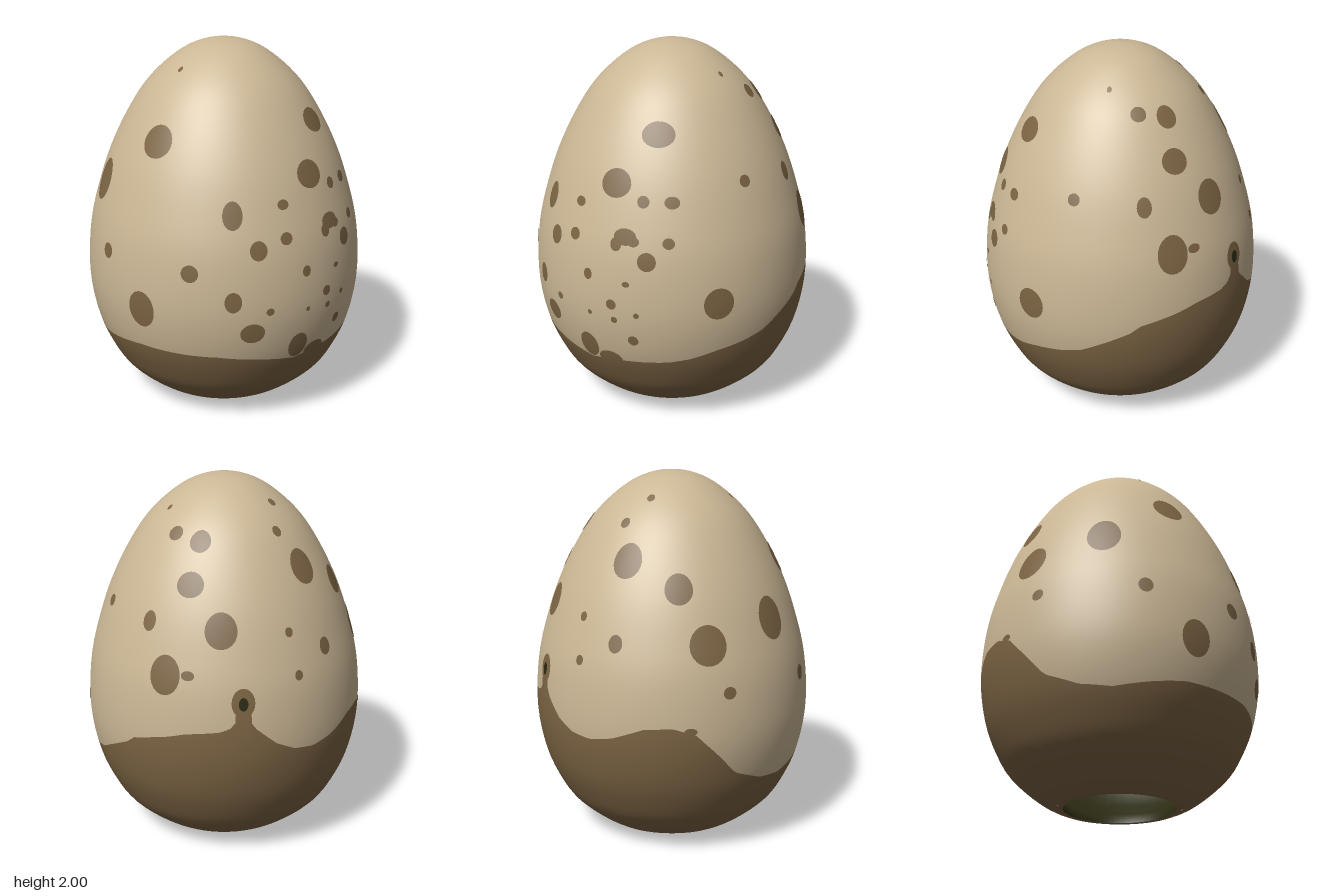
import * as THREE from 'three';

const cream = new THREE.MeshStandardMaterial({ color: 0xcbb795 });
cream.name = 'cream shell';
const brown = new THREE.MeshStandardMaterial({ color: 0x7c6443 });
brown.name = 'brown stain';
const dark = new THREE.MeshStandardMaterial({ color: 0x2a2a12, side: THREE.DoubleSide });
dark.name = 'dark inside';

// Egg profile as [radius, height], smoothed into a dense table
const PROFILE = [
  [0.33, 0], [0.4, 0.03], [0.5, 0.1], [0.605, 0.2], [0.67, 0.31], [0.72, 0.43], [0.758, 0.6],
  [0.768, 0.76], [0.747, 1], [0.697, 1.2], [0.628, 1.4], [0.53, 1.6], [0.425, 1.76],
  [0.315, 1.87], [0.2, 1.95], [0.09, 1.99], [0, 2],
];
const table = new THREE.CatmullRomCurve3(PROFILE.map(([r, y]) => new THREE.Vector3(r, y, 0)))
  .getPoints(600);

function radiusAt(y) {
  if (y >= 2) return 0;
  if (y <= 0) return PROFILE[0][0];
  const k = Math.max(1, table.findIndex((p) => p.y >= y));
  const a = table[k - 1], b = table[k];
  return a.x + (b.x - a.x) * (y - a.y) / Math.max(1e-6, b.y - a.y);
}

// Outward normal and position on the egg; angle 0 is the front, growing towards +x
function normalAt(angle, y) {
  if (y > 1.9995) return new THREE.Vector3(0, 1, 0);
  const lo = Math.max(0, y - 0.01), hi = Math.min(2, y + 0.01);
  const slope = (radiusAt(hi) - radiusAt(lo)) / (hi - lo);
  return new THREE.Vector3(Math.sin(angle), -slope, Math.cos(angle)).normalize();
}
function pointAt(angle, y, lift = 0) {
  const r = radiusAt(y);
  return new THREE.Vector3(r * Math.sin(angle), y, r * Math.cos(angle))
    .addScaledVector(normalAt(angle, y), lift);
}

// Curved sheet on the egg: place(u, v) gives [angle, height]
function sheet(name, material, cols, rows, place, lift = 0) {
  const pos = [], nor = [], index = [];
  for (let j = 0; j <= rows; j++) {
    for (let i = 0; i <= cols; i++) {
      const [angle, y] = place(i / cols, j / rows);
      pos.push(...pointAt(angle, y, lift).toArray());
      nor.push(...normalAt(angle, y).toArray());
      if (i < cols && j < rows) {
        const a = j * (cols + 1) + i, d = a + cols + 1;
        index.push(a, a + 1, d + 1, a, d + 1, d);
      }
    }
  }
  const g = new THREE.BufferGeometry();
  g.setAttribute('position', new THREE.Float32BufferAttribute(pos, 3));
  g.setAttribute('normal', new THREE.Float32BufferAttribute(nor, 3));
  g.setIndex(index);
  const mesh = new THREE.Mesh(g, material);
  mesh.name = name;
  return mesh;
}

// Wavy top edge of the stain as [degrees, height]
const EDGE = [
  [0, 0.41], [25, 0.43], [34, 0.45], [45, 0.49], [57, 0.52], [66, 0.55], [75, 0.61], [86, 0.68],
  [90, 0.72], [97, 0.745], [105, 0.77], [113, 0.8], [126, 0.82], [130, 0.84], [135, 0.92],
  [140, 0.83], [148, 0.74], [156, 0.69], [165, 0.675], [175, 0.7], [188, 0.765], [199, 0.775],
  [208, 0.735], [216, 0.63], [225, 0.5], [239, 0.43], [252, 0.41], [268, 0.44], [281, 0.46],
  [316, 0.45], [335, 0.42], [350, 0.39], [360, 0.41],
];
function edgeAt(u) {
  const deg = u * 360;
  const k = Math.max(1, EDGE.findIndex((e) => e[0] >= deg - 1e-9));
  const [a, ya] = EDGE[k - 1], [b, yb] = EDGE[k];
  return ya + (yb - ya) * (deg - a) / (b - a);
}

// Spots as [sideways offset, height, half width, half height], grouped by the side they face
const SPOTS = {
  0: [
    [0.175, 1.6, 0.08, 0.06], [0.01, 1.365, 0.082, 0.07], [-0.43, 1.21, 0.04, 0.07],
    [-0.35, 1.035, 0.04, 0.05], [-0.19, 1.245, 0.03, 0.025], [-0.205, 1.08, 0.032, 0.032],
    [0.165, 1.29, 0.03, 0.03], [0.3, 1.29, 0.035, 0.03], [0.095, 1.115, 0.06, 0.042],
    [0.05, 1.075, 0.03, 0.035], [0.14, 1.095, 0.03, 0.025], [0.31, 1.095, 0.028, 0.028],
    [0.215, 1.0, 0.046, 0.048], [-0.62, 0.92, 0.026, 0.045], [-0.105, 0.895, 0.025, 0.03],
    [0.115, 0.875, 0.02, 0.015], [-0.475, 0.775, 0.035, 0.055], [0.035, 0.755, 0.028, 0.028],
    [-0.31, 0.71, 0.02, 0.02], [0.17, 0.71, 0.015, 0.015], [0.05, 0.67, 0.018, 0.018],
    [-0.095, 0.685, 0.013, 0.013], [0.54, 0.77, 0.058, 0.085], [-0.385, 0.595, 0.056, 0.056],
    [0.145, 0.56, 0.028, 0.028], [-0.125, 0.475, 0.058, 0.075], [0, 0.415, 0.07, 0.05],
  ],
  90: [
    [0.03, 1.745, 0.04, 0.032], [0.175, 1.72, 0.05, 0.05], [0.2, 1.525, 0.066, 0.06],
    [0.03, 1.335, 0.038, 0.05], [-0.31, 1.36, 0.028, 0.03], [0.39, 1.32, 0.066, 0.088],
    [0.17, 1.09, 0.08, 0.1], [0.285, 1.1, 0.032, 0.024], [-0.1, 1.845, 0.012, 0.012],
  ],
  180: [
    [-0.05, 1.575, 0.077, 0.085], [-0.107, 1.75, 0.025, 0.024], [-0.005, 1.87, 0.021, 0.016],
    [0.227, 1.45, 0.066, 0.075], [0.39, 1.18, 0.08, 0.1], [-0.06, 1.18, 0.038, 0.045],
    [-0.265, 1.29, 0.02, 0.024], [-0.265, 1.075, 0.022, 0.026], [0.5, 0.94, 0.026, 0.032],
    [0.335, 0.755, 0.03, 0.02],
  ],
  270: [
    [0.12, 1.53, 0.085, 0.08], [-0.255, 1.27, 0.083, 0.11], [-0.07, 0.94, 0.038, 0.042],
    [0.19, 0.685, 0.078, 0.1], [0.03, 1.86, 0.014, 0.012],
  ],
};

// Thin elliptical patch that follows the shell
function spot(name, material, facing, [offset, y, w, h], lift = 0.003) {
  const turn = Math.asin(offset / radiusAt(y));
  const centre = THREE.MathUtils.degToRad(facing) + turn;
  const spread = w / Math.cos(turn) / radiusAt(y);
  return sheet(name, material, 22, 3, (u, v) => {
    const a = u * Math.PI * 2, s = 1 - v;
    return [centre + spread * s * Math.cos(a), y + h * s * Math.sin(a)];
  }, lift);
}

export function createModel() {
  const model = new THREE.Group();
  model.name = 'speckledEgg';

  // Outer shell, split along the wavy stain edge
  const TAU = Math.PI * 2;
  model.add(sheet('stainedBase', brown, 180, 18, (u, v) => [u * TAU, edgeAt(u) * v ** 1.4]));
  model.add(sheet('upperShell', cream, 180, 36, (u, v) => {
    const b = edgeAt(u);
    return [u * TAU, b + (2 - b) * Math.sin(v * Math.PI / 2)];
  }));

  // Speckles
  const speckles = new THREE.Group();
  speckles.name = 'speckles';
  for (const [facing, list] of Object.entries(SPOTS)) {
    for (const s of list) speckles.add(spot('speckle', brown, Number(facing), s));
  }
  model.add(speckles);

  // Small hole with a stained ring above the peak of the stain
  model.add(spot('holeRing', brown, 135, [0, 0.97, 0.06, 0.075]));
  model.add(spot('holeStem', brown, 135, [0, 0.88, 0.042, 0.09]));
  model.add(spot('smallHole', dark, 135, [0, 0.965, 0.024, 0.034], 0.006));

  // Rim of the bottom opening
  const rim = new THREE.Mesh(new THREE.RingGeometry(0.3, 0.33, 64), brown);
  rim.name = 'bottomRim';
  rim.rotation.x = Math.PI / 2;
  model.add(rim);

  // Hollow inside
  const inner = [[0.3, 0], [0.31, 0.05], [0.47, 0.14], [0.62, 0.32], [0.7, 0.6], [0.71, 0.78],
    [0.69, 1], [0.57, 1.4], [0.36, 1.74], [0.15, 1.9], [0, 1.93]];
  const hollow = new THREE.Mesh(
    new THREE.LatheGeometry(inner.map(([r, y]) => new THREE.Vector2(r, y)), 64), dark);
  hollow.name = 'hollowInside';
  model.add(hollow);

  return model;
}
